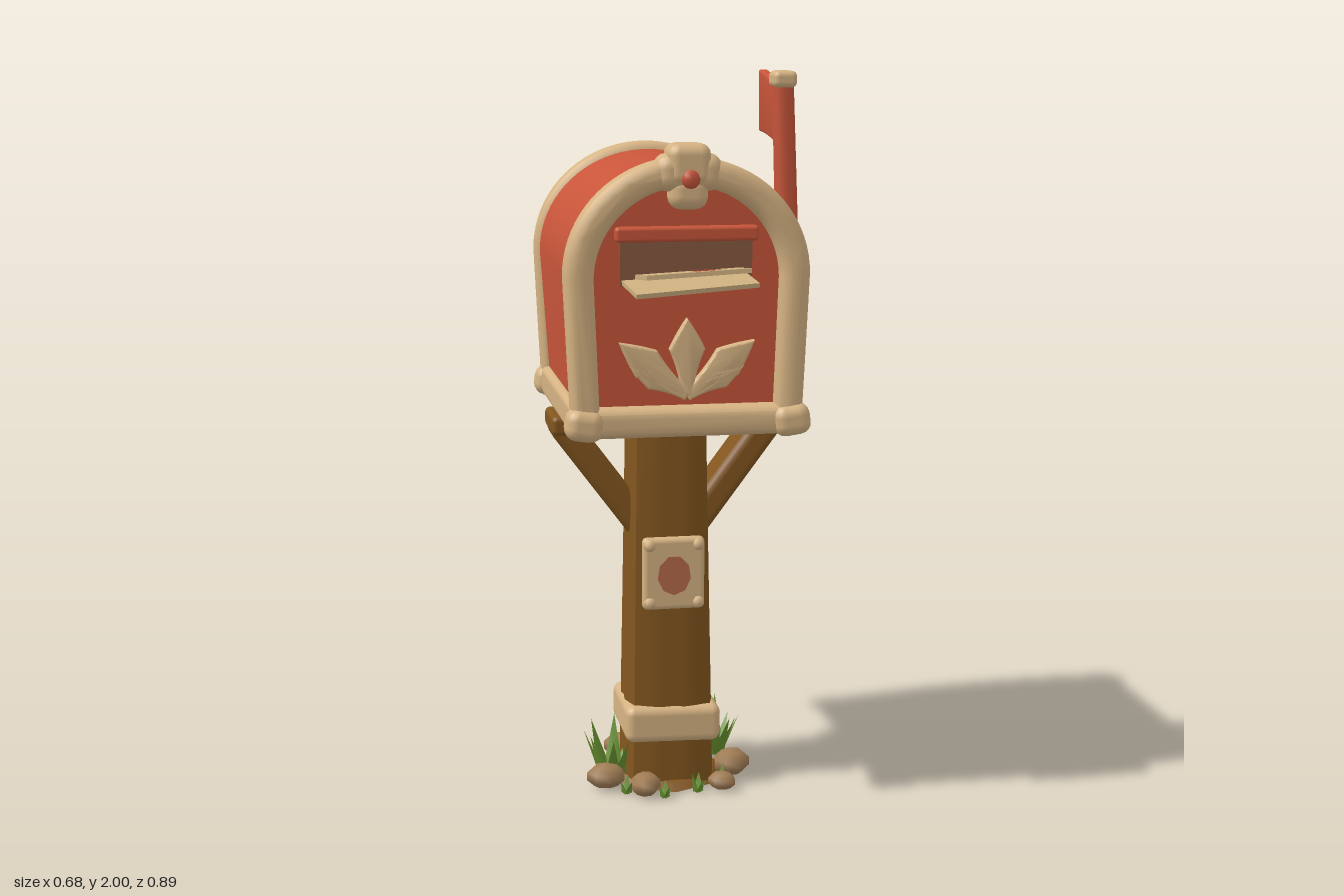
import * as THREE from 'three';
import { toCreasedNormals } from 'three/addons/utils/BufferGeometryUtils.js';
import { RoundedBoxGeometry } from 'three/addons/geometries/RoundedBoxGeometry.js';

const paint = (name, color, side = THREE.FrontSide) => {
  const m = new THREE.MeshStandardMaterial({ color, side });
  m.name = name;
  return m;
};

export function createModel() {
  const red = paint('red paint', 0xc8553a);
  const fadedRed = paint('faded red', 0xb56a48);
  const cream = paint('cream trim', 0xd6b383);
  const wood = paint('wood', 0x82561f);
  const dark = paint('slot brown', 0x865a40);
  const paper = paint('paper', 0xceb080);
  const green = paint('grass', 0x68912f, THREE.DoubleSide);
  const stone = paint('stone', 0xa07c54);

  const model = new THREE.Group();
  model.name = 'mailbox';
  const CX = -0.013;

  const add = (name, geo, mat, x = 0, y = 0, z = 0, rx = 0, ry = 0, rz = 0) => {
    const m = new THREE.Mesh(geo, mat);
    m.name = name;
    m.position.set(x, y, z);
    m.rotation.set(rx, ry, rz);
    model.add(m);
    return m;
  };
  const rbox = (w, h, d, r) => new RoundedBoxGeometry(w, h, d, 2, r);
  const extrude = (shape, depth, bevel = 0) => toCreasedNormals(new THREE.ExtrudeGeometry(shape, {
    depth: depth - 2 * bevel, bevelEnabled: bevel > 0, bevelSize: bevel, bevelThickness: bevel,
    bevelOffset: -bevel, bevelSegments: 3, curveSegments: 20,
  }).translate(0, 0, bevel), 0.7);

  // Arched outline: half width at the base and at the spring line, then a half ellipse
  const arch = (hb, ht, y0, ys, yt, Type = THREE.Shape) => {
    const s = new Type();
    s.moveTo(-hb, y0);
    s.lineTo(hb, y0);
    s.lineTo(ht, ys);
    s.absellipse(0, ys, ht, yt - ys, 0, Math.PI, false);
    s.closePath();
    return s;
  };

  // Box body and floor
  add('body', extrude(arch(0.285, 0.312, 1.09, 1.48, 1.767), 0.65), red, CX, 0, -0.36);
  add('floor', new THREE.BoxGeometry(0.55, 0.03, 0.7), cream, CX, 1.08, -0.04);

  // Arched rims with corner blocks
  for (const [name, z, d] of [['frontRim', 0.248, 0.1], ['backRim', -0.435, 0.085]]) {
    const ring = arch(0.305, 0.325, 1.055, 1.48, 1.788);
    ring.holes.push(arch(0.235, 0.248, 1.135, 1.47, 1.712, THREE.Path));
    add(name, extrude(ring, d, 0.028), cream, CX, 0, z);
    for (const s of [-1, 1]) {
      add('cornerBlock', rbox(0.1, 0.085, 0.09, 0.032), cream,
        CX + s * 0.277, 1.094, z > 0 ? 0.322 : -0.395, 0, 0, s * 0.15);
    }
  }
  for (const s of [-1, 1]) {
    add('sideRail', rbox(0.07, 0.085, 0.66, 0.02), cream, CX + s * 0.275, 1.1, -0.05);
  }

  // Door slot with hood and letters
  add('slotHood', rbox(0.38, 0.04, 0.035, 0.01), red, CX, 1.588, 0.3);
  add('slot', new THREE.BoxGeometry(0.35, 0.12, 0.008), dark, CX, 1.512, 0.292);
  add('lowerLetter', new THREE.BoxGeometry(0.33, 0.012, 0.2), paper, -0.015, 1.466, 0.32, 0.14, 0.12, 0.04);
  add('upperLetter', new THREE.BoxGeometry(0.275, 0.012, 0.22), paper, -0.01, 1.487, 0.33, -0.1, 0.05, 0.05);
  for (const [dx, dz] of [[-0.012, -0.013], [0, 0], [0.012, 0.011]]) {
    add('letterMark', new THREE.BoxGeometry(0.06, 0.004, 0.009), red,
      0.032 + dx, 1.499, 0.383 + dz, -0.1, 0.05, 0.05);
  }

  // Leaf ornament on the door: narrow stems that widen into pointed lobes
  const leaf = (len, w) => {
    const s = new THREE.Shape();
    s.moveTo(0.015, 0);
    s.quadraticCurveTo(w * 0.2, len * 0.3, w / 2, len * 0.6);
    s.quadraticCurveTo(w * 0.3, len * 0.8, 0, len);
    s.quadraticCurveTo(-w * 0.3, len * 0.8, -w / 2, len * 0.6);
    s.quadraticCurveTo(-w * 0.2, len * 0.3, -0.015, 0);
    s.closePath();
    return extrude(s, 0.03, 0.006);
  };
  for (const [len, w, a] of [[0.205, 0.095, 0], [0.23, 0.09, 0.9], [0.23, 0.09, -0.9],
    [0.17, 0.06, 1.1], [0.17, 0.06, -1.1]]) {
    add('doorLeaf', leaf(len, w), cream, CX, 1.163, 0.288, 0, 0, a);
  }

  // Crest at the top of the front rim
  add('crest', rbox(0.115, 0.11, 0.115, 0.03), cream, CX, 1.768, 0.305);
  add('crestWings', rbox(0.18, 0.1, 0.105, 0.04), cream, CX, 1.748, 0.305);
  add('crestTip', rbox(0.105, 0.09, 0.09, 0.035), cream, CX, 1.697, 0.31);
  const gem = add('crestGem', new THREE.SphereGeometry(0.025, 8, 6), red, CX, 1.733, 0.36);
  gem.scale.z = 0.6;

  // Signal flag on the left side
  add('flagKnob', new THREE.SphereGeometry(0.056, 10, 7), cream, 0.287, 1.437, 0.085);
  add('flagPole', new THREE.CylinderGeometry(0.03, 0.033, 0.58, 8), red, 0.298, 1.68, 0.082, 0, 0, 0.035);
  add('flagCap', rbox(0.066, 0.045, 0.085, 0.016), cream, 0.288, 1.977, 0.082);
  const flag = new THREE.Shape();
  flag.moveTo(-0.07, 1.79);
  flag.quadraticCurveTo(0.05, 1.822, 0.187, 1.824);
  flag.lineTo(0.193, 1.995);
  flag.quadraticCurveTo(0.05, 1.98, -0.07, 1.945);
  flag.closePath();
  add('flag', extrude(flag, 0.026, 0.006), red, 0.28, 0, 0, 0, Math.PI / 2, 0);

  // Post: a tapered squarish trunk with shallow grooves
  const postGeo = new THREE.CylinderGeometry(1, 1, 1.05, 24, 6);
  const p = postGeo.attributes.position;
  for (let i = 0; i < p.count; i++) {
    const x = p.getX(i), z = p.getZ(i), t = p.getY(i) / 1.05 + 0.5;
    const r = Math.hypot(x, z);
    if (r < 0.01) continue;
    const a = Math.atan2(z, x);
    const square = 1 / Math.pow(Math.pow(Math.abs(Math.cos(a)), 5) + Math.pow(Math.abs(Math.sin(a)), 5), 0.2);
    const groove = 1 - 0.035 * (0.5 + 0.5 * Math.cos(a * 12 + 0.4 * Math.sin(t * 5)));
    const k = square * groove * (0.129 - 0.02 * t);
    p.setX(i, Math.cos(a) * k);
    p.setZ(i, Math.sin(a) * k * 1.05);
  }
  add('post', toCreasedNormals(postGeo, 0.6), wood, CX, 0.525, -0.037);

  // Crossbeam and diagonal braces
  add('crossbeam', rbox(0.655, 0.055, 0.185, 0.015), wood, CX, 1.037, -0.05);
  for (const s of [-1, 1]) {
    add('brace', rbox(0.08, 0.4, 0.15, 0.025), wood, CX + s * 0.183, 0.885, -0.05, 0, 0, -s * 0.64);
  }

  // Band around the foot of the post
  add('footBand', rbox(0.27, 0.105, 0.28, 0.025), cream, CX, 0.186, -0.032, 0, 0, -0.02);

  // Name plate with an oval spot and studs
  add('plate', rbox(0.175, 0.205, 0.035, 0.015), cream, CX, 0.625, 0.092);
  const oval = add('plateOval', new THREE.CylinderGeometry(0.047, 0.047, 0.006, 9), fadedRed, CX, 0.622, 0.11, Math.PI / 2);
  oval.scale.z = 1.2;
  for (const sx of [-1, 1]) {
    for (const sy of [-1, 1]) {
      add('plateStud', new THREE.SphereGeometry(0.018, 7, 5), cream, CX + sx * 0.068, 0.625 + sy * 0.082, 0.104);
    }
  }

  // Earth and stones at the base
  add('earth', new THREE.CylinderGeometry(0.15, 0.17, 0.02, 7), wood, CX, 0.01, -0.03);
  const stones = [[-0.2, 0.06, 0.055], [-0.1, 0.14, 0.05], [0.12, 0.13, 0.04],
    [0.17, 0.01, 0.058], [-0.12, -0.18, 0.058], [-0.02, -0.2, 0.045]];
  stones.forEach(([x, z, r], i) => {
    const rock = add('stone', new THREE.SphereGeometry(r, 7, 5), stone, x, r * 0.6, z, 0, i * 1.3, 0);
    rock.scale.set(1.05, 0.65, 0.88);
  });

  // Grass tufts: broad flattened cones bent outwards
  const blade = (h, bend) => {
    const g = new THREE.ConeGeometry(0.14 * h + 0.008, h, 4, 4).scale(1, 1, 0.3).translate(0, h / 2, 0);
    const q = g.attributes.position;
    for (let i = 0; i < q.count; i++) {
      const t = q.getY(i) / h;
      q.setZ(i, q.getZ(i) + bend * t);
    }
    return toCreasedNormals(g, 0.6);
  };
  const tufts = [[-0.175, 0.0, 8, 0.175], [0.155, -0.18, 9, 0.16], [0.05, 0.14, 5, 0.05],
    [-0.05, 0.17, 4, 0.045], [0.13, 0.08, 4, 0.05], [-0.15, 0.12, 4, 0.05]];
  for (const [x, z, n, h] of tufts) {
    for (let i = 0; i < n; i++) {
      const a = i * 2.4 + 0.5, tall = h * (0.65 + 0.35 * ((i * 0.618 + 0.3) % 1));
      add('grassBlade', blade(tall, h * 0.33), green,
        x + Math.sin(a) * h * 0.13, 0, z + Math.cos(a) * h * 0.13, 0, a, 0);
    }
  }
  return model;
}
